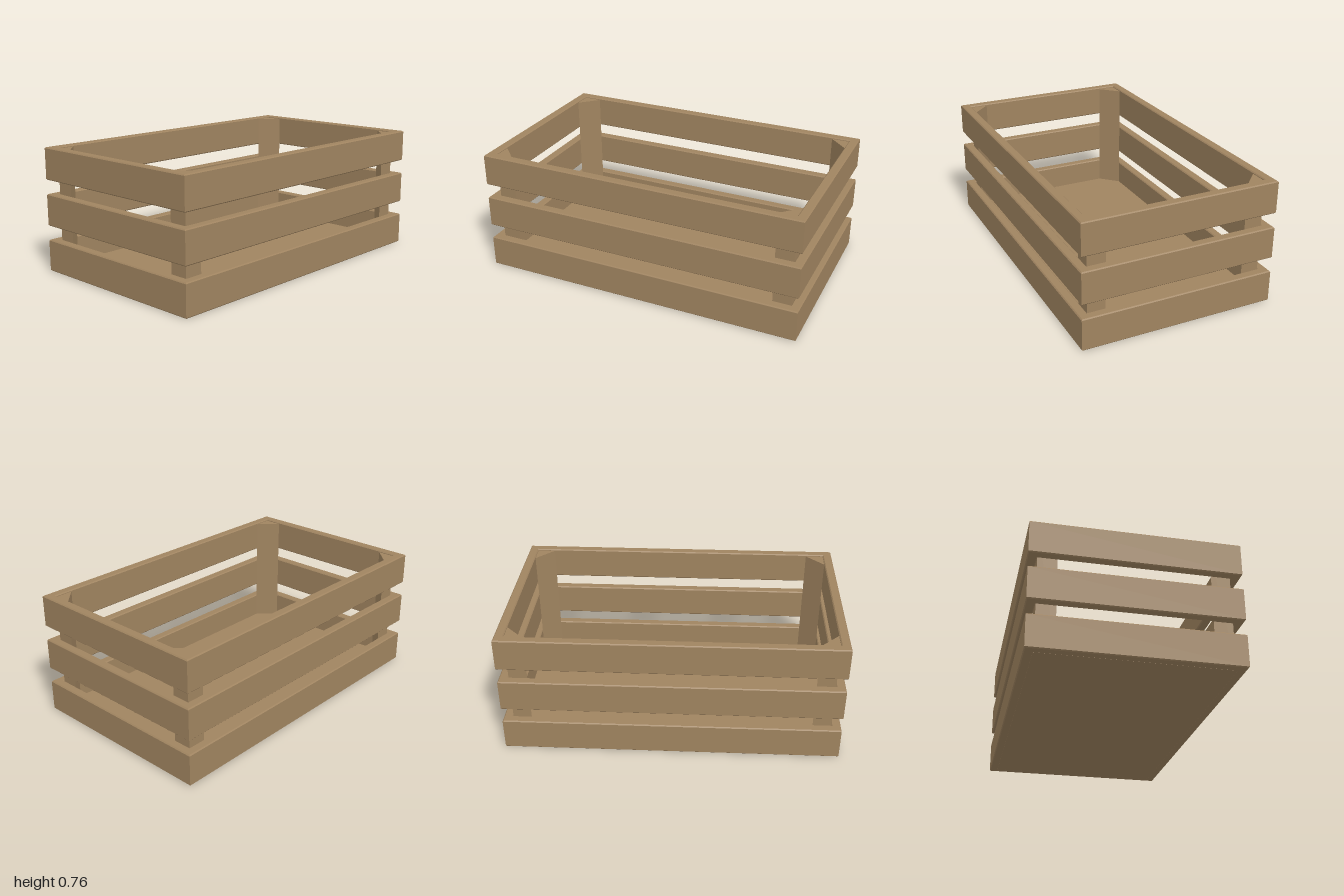
import * as THREE from 'three';

const W = 2, D = 1.19;            // outer footprint
const WALL = 0.055;               // slat thickness
const SLAT = 0.196, STEP = 0.282; // slat height and spacing
const BEVEL = 0.006;

// Rectangle outline centred on the origin
function rect(path, w, d) {
  path.moveTo(-w / 2, -d / 2);
  path.lineTo(w / 2, -d / 2);
  path.lineTo(w / 2, d / 2);
  path.lineTo(-w / 2, d / 2);
  path.closePath();
  return path;
}

export function createModel() {
  const crate = new THREE.Group();
  crate.name = 'crate';
  const wood = new THREE.MeshStandardMaterial({ color: 0xa08460, flatShading: true });

  const add = (name, geometry, x = 0, y = 0, z = 0) => {
    const mesh = new THREE.Mesh(geometry, wood);
    mesh.name = name;
    mesh.position.set(x, y, z);
    crate.add(mesh);
    return mesh;
  };

  // Three bevelled slat frames stacked with gaps
  const frame = rect(new THREE.Shape(), W, D);
  frame.holes.push(rect(new THREE.Path(), W - 2 * WALL, D - 2 * WALL));
  const frameGeo = new THREE.ExtrudeGeometry(frame, {
    depth: SLAT - 2 * BEVEL,
    bevelThickness: BEVEL,
    bevelSize: BEVEL,
    bevelOffset: -BEVEL,
    bevelSegments: 1,
  });
  frameGeo.rotateX(-Math.PI / 2).translate(0, BEVEL, 0);
  ['bottomSlats', 'middleSlats', 'topSlats'].forEach((name, i) => add(name, frameGeo, 0, i * STEP, 0));

  // Floor panel inside the bottom frame
  const floorT = 0.04;
  add('floor', new THREE.BoxGeometry(W - 2 * WALL + 0.01, floorT, D - 2 * WALL + 0.01), 0, floorT / 2, 0);

  // Triangular corner posts, right angle tucked into each corner
  const leg = 0.11, postTop = 0.75;
  for (const sx of [-1, 1]) {
    for (const sz of [-1, 1]) {
      const tri = new THREE.Shape([
        new THREE.Vector2(0, 0),
        new THREE.Vector2(-sx * leg, 0),
        new THREE.Vector2(0, sz * leg),
      ]);
      const geo = new THREE.ExtrudeGeometry(tri, { depth: postTop - 0.02, bevelEnabled: false });
      geo.rotateX(-Math.PI / 2);
      add('cornerPost', geo, sx * (W / 2 - WALL), 0.02, sz * (D / 2 - WALL));
    }
  }
  return crate;
}
